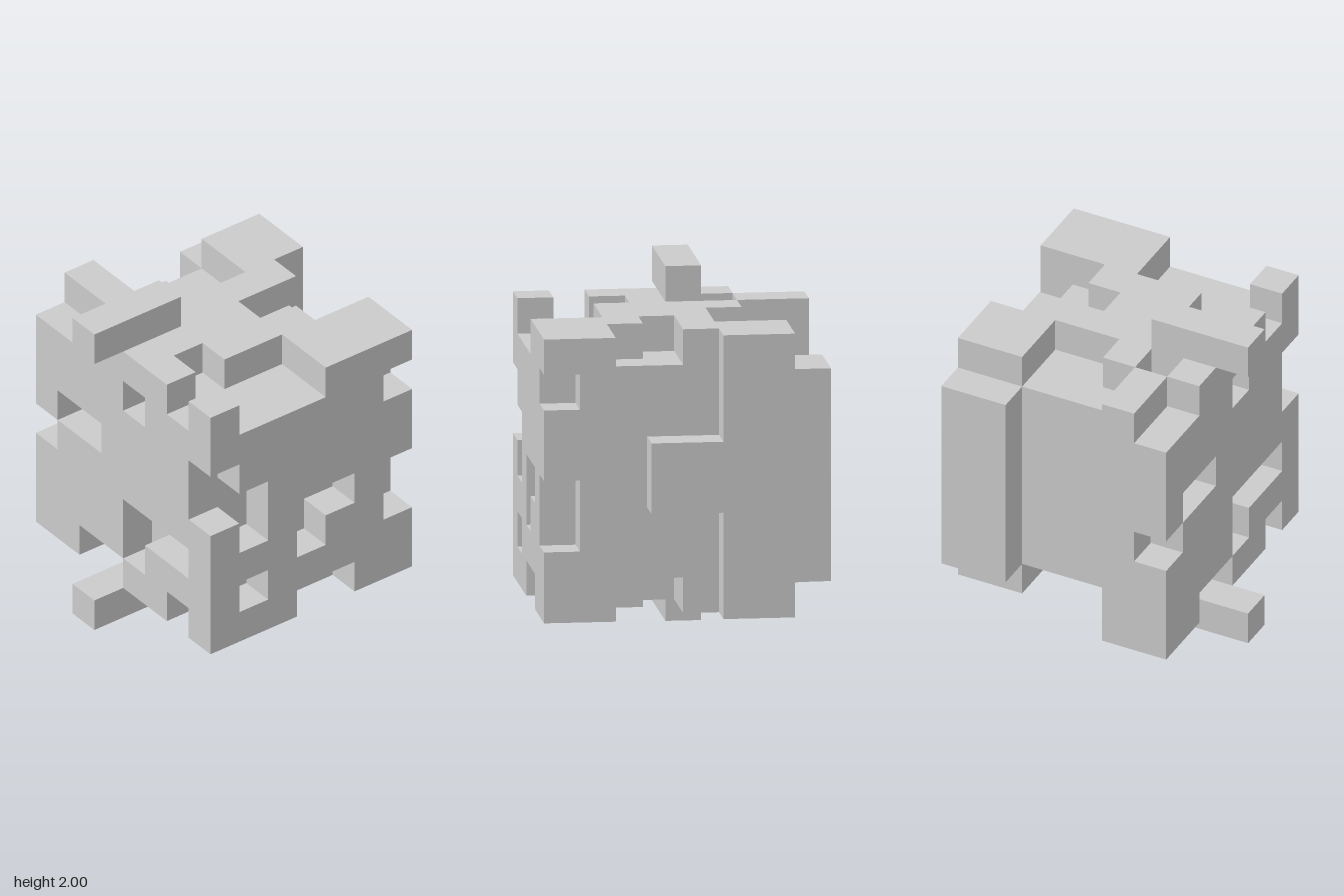
import * as THREE from 'three';

const U = 0.2; // edge of one grid cell
const NX = 8, NY = 10, NZ = 8;

// Cuts, in inclusive cell ranges: [x0, x1, y0, y1, z0, z1]
const cuts = {
  channels: [[0, 0, 1, 8, 2, 4], [5, 5, 1, 8, 0, 0]],
  back: [[3, 4, 1, 3, 0, 0], [3, 4, 6, 8, 0, 0]],
  front: [
    [4, 4, 7, 7, 6, 6], [1, 2, 5, 5, 6, 6], [0, 0, 4, 4, 6, 6],
    [7, 7, 5, 6, 6, 6], [4, 4, 2, 3, 6, 6], [5, 6, 3, 3, 6, 6],
  ],
  side: [
    [7, 7, 4, 5, 5, 5], [7, 7, 7, 7, 0, 0], [7, 7, 3, 4, 0, 0],
    [7, 7, 4, 4, 2, 3], [7, 7, 3, 3, 3, 3], [7, 7, 2, 2, 5, 5],
  ],
  top: [[2, 2, 8, 8, 5, 5], [6, 7, 8, 8, 3, 5], [0, 1, 8, 8, 6, 6]],
  bottom: [[2, 3, 1, 1, 6, 6], [7, 7, 1, 1, 2, 3]],
};
// Cuts shared by the top and bottom layers: [x0, x1, z0, z1]
const mirrored = [
  [0, 0, 0, 1], [4, 4, 1, 2], [5, 5, 1, 1], [1, 2, 2, 3],
  [1, 1, 4, 4], [5, 5, 5, 5], [6, 6, 6, 6],
];
for (const [x0, x1, z0, z1] of mirrored) {
  cuts.top.push([x0, x1, 8, 8, z0, z1]);
  cuts.bottom.push([x0, x1, 1, 1, z0, z1]);
}
const allCuts = Object.values(cuts).flat();

const inside = (c, [x0, x1, y0, y1, z0, z1]) =>
  c[0] >= x0 && c[0] <= x1 && c[1] >= y0 && c[1] <= y1 && c[2] >= z0 && c[2] <= z1;
const filled = (c) => inside(c, [0, 7, 1, 8, 0, 6]) && !allCuts.some((r) => inside(c, r));

// Skin of the carved block: one quad for each exposed cell side
function carvedGeometry() {
  const pos = [];
  const addFace = (cell, axis, dir) => {
    const u = (axis + 1) % 3, v = (axis + 2) % 3;
    const corner = (du, dv) => {
      const p = [...cell];
      if (dir > 0) p[axis] += 1;
      p[u] += du;
      p[v] += dv;
      return [(p[0] - NX / 2) * U, p[1] * U, (p[2] - NZ / 2) * U];
    };
    const q = [corner(0, 0), corner(1, 0), corner(1, 1), corner(0, 1)];
    if (dir < 0) q.reverse();
    for (const i of [0, 1, 2, 0, 2, 3]) pos.push(...q[i]);
  };
  for (let x = 0; x < NX; x++)
    for (let y = 0; y < NY; y++)
      for (let z = 0; z < NZ; z++) {
        const cell = [x, y, z];
        if (!filled(cell)) continue;
        for (let axis = 0; axis < 3; axis++)
          for (const dir of [-1, 1]) {
            const next = [...cell];
            next[axis] += dir;
            if (!filled(next)) addFace(cell, axis, dir);
          }
      }
  const g = new THREE.BufferGeometry();
  g.setAttribute('position', new THREE.Float32BufferAttribute(pos, 3));
  g.computeVertexNormals();
  return g;
}

export function createModel() {
  const group = new THREE.Group();
  group.name = 'blockPuzzle';
  const material = new THREE.MeshStandardMaterial({ color: 0xcccccc, flatShading: true });

  // Carved cube
  const body = new THREE.Mesh(carvedGeometry(), material);
  body.name = 'carvedBlock';
  group.add(body);

  // Square bars above and below, overhanging the front
  for (const [name, y] of [['topBar', 1.9], ['bottomBar', 0.1]]) {
    const bar = new THREE.Mesh(new THREE.BoxGeometry(U, U, 3 * U), material);
    bar.name = name;
    bar.position.set(-0.1, y, 0.5);
    group.add(bar);
  }
  return group;
}
